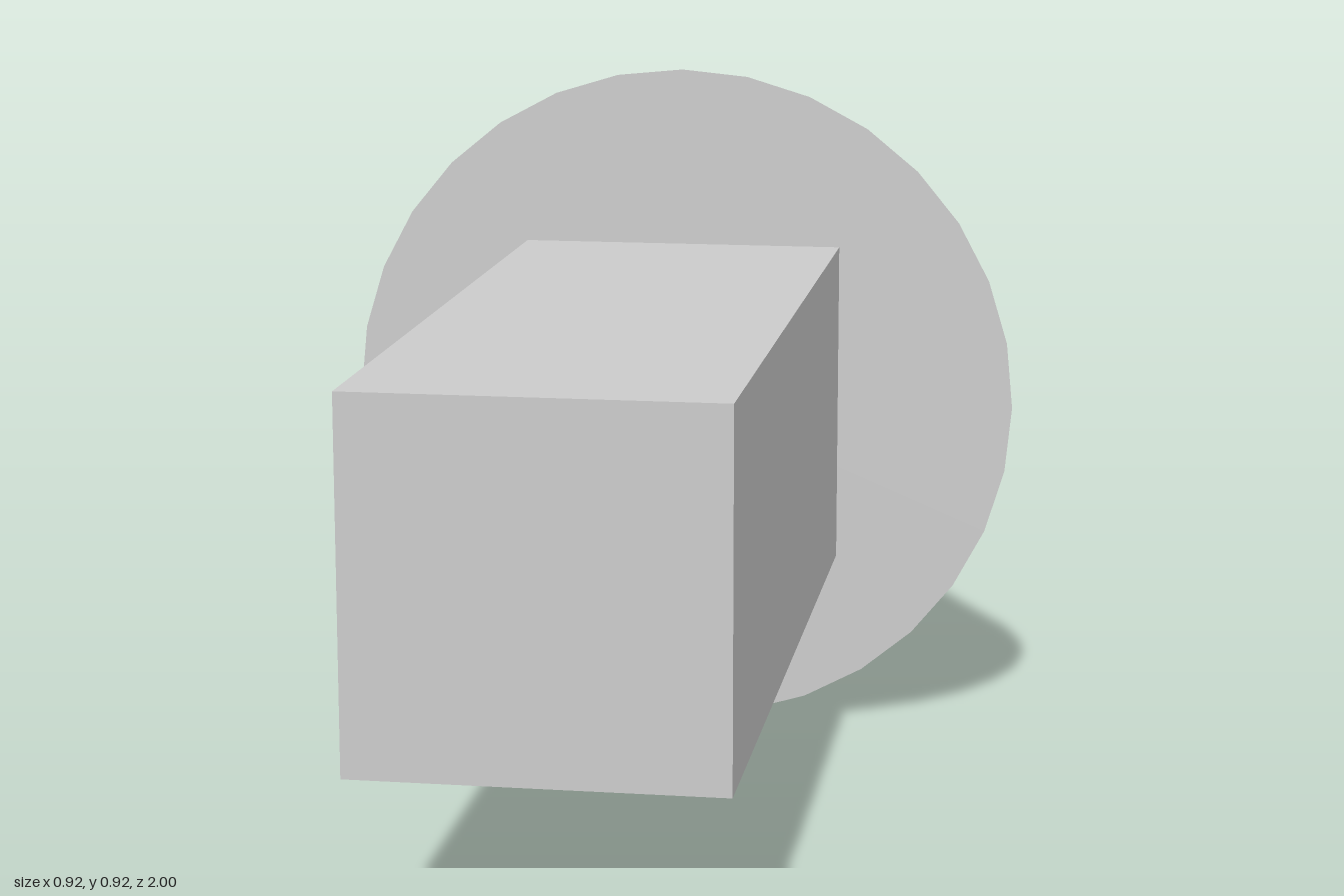
import * as THREE from 'three';

const AXIS_Y = 0.462; // height of the arrow's centre line
const BASE_Z = -0.08; // where the shaft meets the head

export function createModel() {
  const group = new THREE.Group();
  group.name = 'arrow';
  const material = new THREE.MeshStandardMaterial({ color: 0xcccccc, flatShading: true });

  // Square shaft running forward from the head
  const shaftLength = 1 - BASE_Z;
  const shaft = new THREE.Mesh(new THREE.BoxGeometry(0.437, 0.437, shaftLength), material);
  shaft.name = 'shaft';
  shaft.position.set(0, AXIS_Y, BASE_Z + shaftLength / 2);
  group.add(shaft);

  // Faceted cone head, tip pointing to the back
  const headLength = 1 + BASE_Z;
  const headGeometry = new THREE.ConeGeometry(0.46, headLength, 32);
  headGeometry.rotateX(-Math.PI / 2);
  const head = new THREE.Mesh(headGeometry, material);
  head.name = 'head';
  head.position.set(0, AXIS_Y, BASE_Z - headLength / 2);
  group.add(head);

  return group;
}
